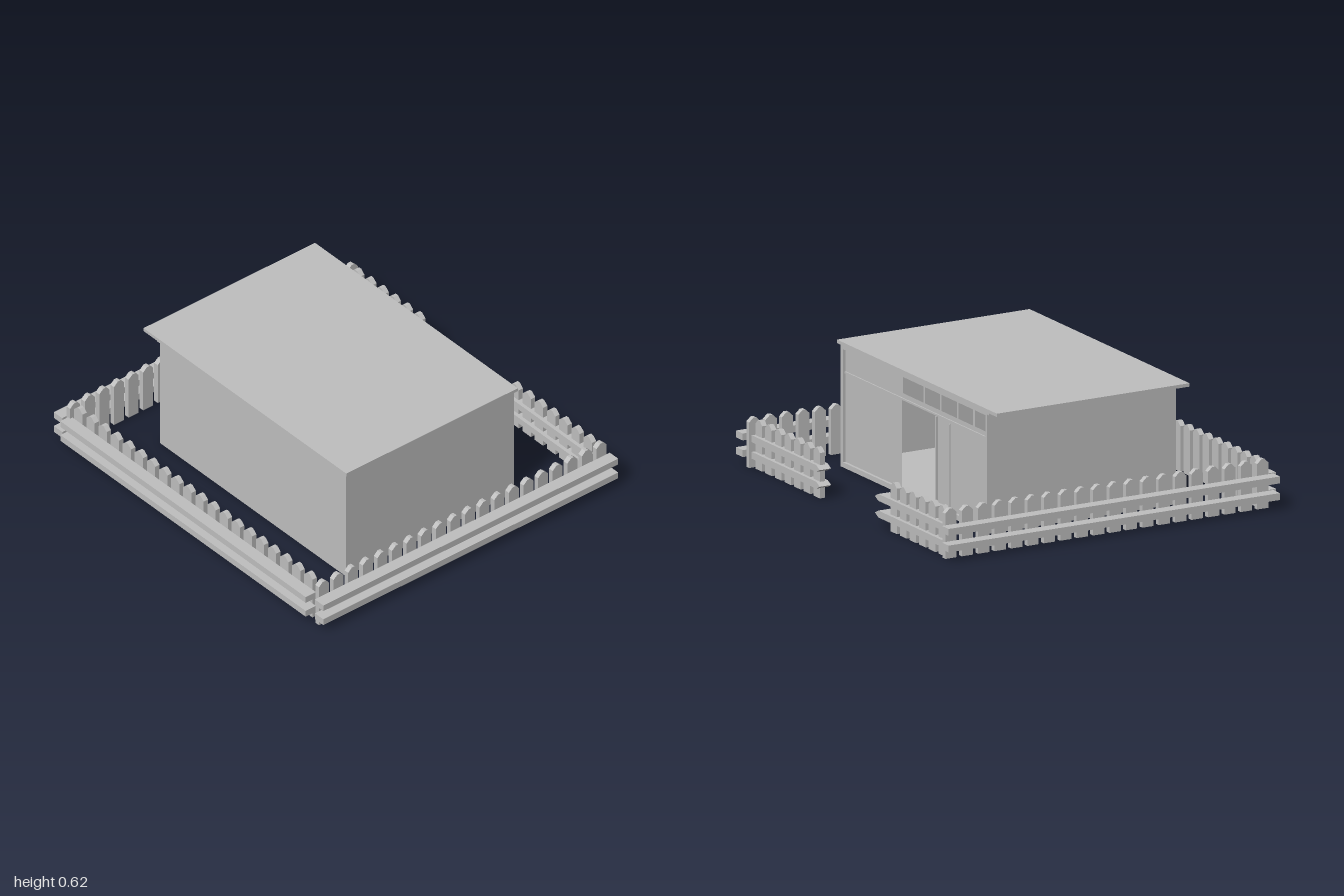
import * as THREE from 'three';

export function createModel() {
  const model = new THREE.Group();
  model.name = 'fencedShed';
  const grey = new THREE.MeshStandardMaterial({ color: 0xbfbfbf });
  grey.name = 'plain grey';

  function add(parent, name, geometry) {
    const mesh = new THREE.Mesh(geometry, grey);
    mesh.name = name;
    parent.add(mesh);
    return mesh;
  }
  function box(parent, name, x0, x1, y0, y1, z0, z1) {
    const g = new THREE.BoxGeometry(x1 - x0, y1 - y0, z1 - z0);
    g.translate((x0 + x1) / 2, (y0 + y1) / 2, (z0 + z1) / 2);
    return add(parent, name, g);
  }
  function group(name) {
    const g = new THREE.Group();
    g.name = name;
    model.add(g);
    return g;
  }
  // Extrudes a (z, y) outline between two x positions
  function extrudeX(points, x0, x1, holes = []) {
    const flip = (pts) => pts.map(([z, y]) => new THREE.Vector2(-z, y));
    const shape = new THREE.Shape(flip(points));
    holes.forEach((h) => shape.holes.push(new THREE.Path(flip(h))));
    const g = new THREE.ExtrudeGeometry(shape, { depth: x1 - x0, bevelEnabled: false });
    g.rotateY(Math.PI / 2);
    g.translate(x0, 0, 0);
    return g;
  }
  const rect = (z0, z1, y0, y1) => [[z0, y0], [z1, y0], [z1, y1], [z0, y1]];

  // Shed shell
  const shed = group('shed');
  const back = -0.66, front = 0.72, top = 0.605;
  box(shed, 'floor', -0.53, 0.51, 0, 0.025, back, front);
  box(shed, 'frontWall', -0.53, 0.51, 0.025, top, front - 0.025, front);
  box(shed, 'backWall', -0.53, 0.51, 0.025, top, back, back + 0.015);
  box(shed, 'leftSideWall', -0.53, -0.51, 0.025, top, back + 0.015, front - 0.025);
  box(shed, 'roof', -0.54, 0.52, top, 0.622, -0.77, 0.735);
  box(shed, 'roofBatten', -0.53, 0.51, 0.59, top, -0.68, back);

  // Entrance wall with doorway and a row of window openings
  const windows = [[-0.035, 0.155], [-0.19, -0.05], [-0.35, -0.205], [-0.505, -0.365], [-0.645, -0.52]];
  const holes = windows.map(([a, b]) => rect(a, b, 0.495, 0.575));
  holes.push(rect(-0.285, 0.165, 0.028, 0.465));
  add(shed, 'entranceWall', extrudeX(rect(-0.652, 0.7, 0.02, top), 0.475, 0.495, holes));
  box(shed, 'slidingDoor', 0.46, 0.474, 0.025, 0.466, -0.3, -0.13);
  box(shed, 'doorEdge', 0.474, 0.485, 0.025, 0.45, -0.137, -0.127);
  box(shed, 'doorJamb', 0.49, 0.5, 0.025, 0.45, -0.289, -0.281);
  box(shed, 'lintel', 0.49, 0.502, 0.463, 0.472, -0.645, 0.695);
  box(shed, 'header', 0.49, 0.51, 0.583, top, -0.645, 0.695);

  // Pointed picket, centred on its width and standing on the ground
  const w = 0.031;
  const picketGeometry = extrudeX([[-w, 0], [w, 0], [w, 0.224], [0.008, 0.245], [-0.008, 0.245], [-w, 0.224]], -0.0135, 0.0135);
  const crossGeometry = picketGeometry.clone().rotateY(Math.PI / 2);
  const railHeights = [[0.05, 0.084], [0.132, 0.166]];

  // Fences along x, front and back
  for (const [name, s] of [['frontFence', 1], ['backFence', -1]]) {
    const fence = group(name);
    const zIn = s * 0.937, zOut = s * 1.0;
    for (const [y0, y1] of railHeights) {
      box(fence, 'rail', -0.903, 0.92, y0, y1, Math.min(zIn, zOut), Math.max(zIn, zOut));
    }
    for (let i = 0; i < 20; i++) {
      add(fence, 'picket', crossGeometry).position.set(-0.846 + i * 0.0903, 0, s * 0.923);
    }
  }

  // Fence along z on the closed side
  const sideFence = group('closedSideFence');
  for (const [y0, y1] of railHeights) box(sideFence, 'rail', -0.925, -0.862, y0, y1, -0.925, 0.895);
  for (let i = 0; i < 20; i++) {
    add(sideFence, 'picket', picketGeometry).position.set(-0.848, 0, -0.867 + i * 0.0898);
  }

  // Two short fences with pointed rail ends beside the gateway
  const gateFences = [
    ['gateFenceFront', 0.89, 0.25, 0.31, 7],
    ['gateFenceBack', -0.91, -0.268, -0.867, 6],
  ];
  for (const [name, outer, tip, start, count] of gateFences) {
    const fence = group(name);
    const neck = tip + Math.sign(tip) * 0.033;
    for (const [y0, y1] of railHeights) {
      const outline = [[outer, y0], [neck, y0], [tip, (y0 + y1) / 2], [neck, y1], [outer, y1]];
      add(fence, 'rail', extrudeX(outline, 0.835, 0.898));
    }
    for (let i = 0; i < count; i++) {
      add(fence, 'picket', picketGeometry).position.set(0.867, 0, start + i * 0.0905);
    }
  }
  return model;
}
